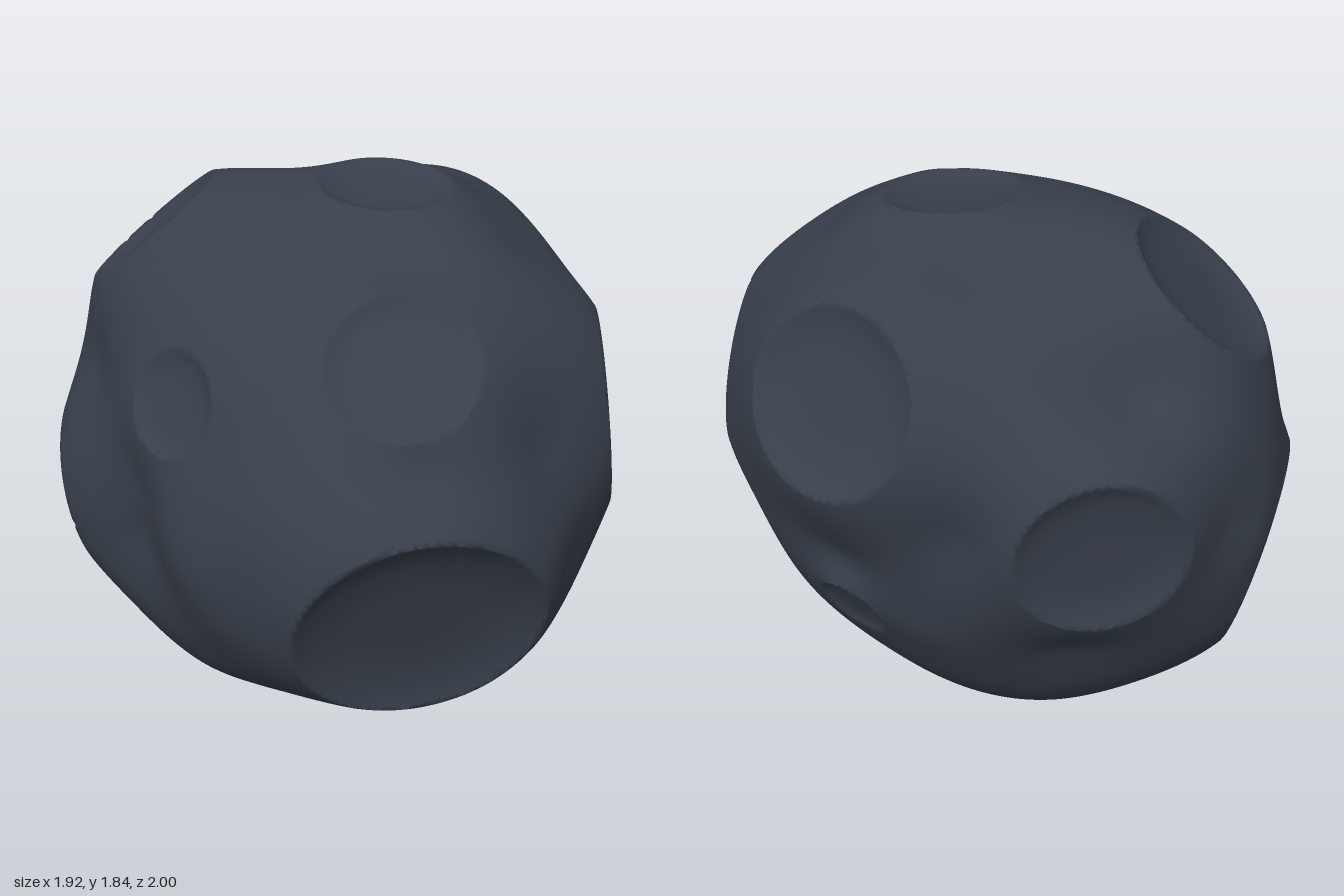
import * as THREE from 'three';
import { mergeVertices } from 'three/addons/utils/BufferGeometryUtils.js';

const V = (x, y, z) => new THREE.Vector3(x, y, z);
const MID = V(0, 0.92, 0);

// Craters: rim centre, facing direction, rim radius
const craters = [
  [V(0.1, 0.675, 0.88), V(0, -0.3, 0.95), 0.405],
  [V(0.07, 1.49, 0.69), V(-0.18, 0.7, 0.7), 0.235],
  [V(0.87, 1.1, 0.27), V(0.96, 0.12, 0.25), 0.335],
  [V(0.605, 1.42, -0.635), V(0.62, 0.37, -0.69), 0.295],
  [V(0.575, 0.6, -0.57), V(0.62, -0.42, -0.64), 0.13],
  [V(0.175, 1.82, -0.04), V(0.03, 1, 0.09), 0.225],
  [V(-0.59, 1.27, 0.355), V(-0.75, 0.37, 0.55), 0.175],
  [V(-0.565, 1.61, -0.395), V(-0.6, 0.75, -0.2), 0.28],
  [V(-0.155, 1.03, -0.985), V(-0.03, -0.05, -1), 0.27],
  [V(0.53, 0.2, 0.15), V(0.58, -0.81, 0.05), 0.26],
  [V(-0.22, 0.095, -0.06), V(-0.22, -0.97, 0.06), 0.43],
  [V(-0.8, 0.63, -0.41), V(-0.9, -0.25, -0.34), 0.375],
].map(([c, n, r]) => ({ c: c.sub(MID), n: n.normalize(), r }));

// Points on the plain ground between the craters
const ground = [
  V(0.83, 0.58, 0.1), V(-0.8, 1.2, -0.15), V(0.08, 1.25, 0.88), V(0.1, 1.67, 0.42),
  V(0.1, 0.22, 0.55), V(0, 0.3, -0.7), V(-0.1, 0.58, -0.84), V(-0.71, 0.95, 0.23),
  V(-0.7, 0.7, 0.22), V(-0.61, 0.8, 0.56), V(-0.45, 0.8, 0.75), V(-0.5, 0.42, 0.5),
  V(0.64, 0.8, 0.71), V(0.5, 1.2, 0.75), V(0.24, 1.05, -0.88), V(-0.57, 1, -0.85),
  V(-0.72, 0.9, -0.75), V(0.61, 1.63, 0.12), V(0, 1.72, -0.48), V(0.2, 1.77, -0.38),
  V(0.52, 1.73, -0.28), V(0.9, 0.95, -0.2), V(-0.3, 1.45, -0.74), V(0.6, 0.78, -0.6),
  V(0.72, 0.6, -0.4), V(0.4, 0.6, -0.72), V(0.46, 0.32, -0.46),
].map((p) => p.sub(MID));

// Twelve points around each rim join the ground points as anchors
const anchors = [...ground];
for (const { c, n, r } of craters) {
  const u = V(n.y, n.z, n.x).cross(n).normalize();
  for (let k = 0; k < 12; k++) {
    anchors.push(u.clone().applyAxisAngle(n, (k * Math.PI) / 6).multiplyScalar(r).add(c));
  }
}
const dirs = anchors.map((p) => p.clone().normalize());
const kernel = (a, b) => Math.sqrt(a.distanceToSquared(b) + 0.015);

// Solves a linear system given as augmented rows
function solve(rows) {
  const n = rows.length;
  for (let i = 0; i < n; i++) {
    let best = i;
    for (let j = i + 1; j < n; j++) if (Math.abs(rows[j][i]) > Math.abs(rows[best][i])) best = j;
    [rows[i], rows[best]] = [rows[best], rows[i]];
    for (let j = i + 1; j < n; j++) {
      const f = rows[j][i] / rows[i][i];
      for (let k = i; k <= n; k++) rows[j][k] -= f * rows[i][k];
    }
  }
  const x = new Array(n).fill(0);
  for (let i = n - 1; i >= 0; i--) {
    let s = rows[i][n];
    for (let k = i + 1; k < n; k++) s -= rows[i][k] * x[k];
    x[i] = s / rows[i][i];
  }
  return x;
}

// Moves a unit direction out to the surface
function surfacePoint(d, weights) {
  for (const { c, n, r } of craters) {
    const facing = d.dot(n);
    if (facing < 0.3) continue;
    const offset = d.clone().multiplyScalar(c.dot(n) / facing).sub(c);
    const dist = offset.length();
    // Vertices close to the rim snap onto it; those inside form the bowl
    if (Math.abs(dist - r) < 0.01) return offset.setLength(r).add(c);
    if (dist < r) return offset.add(c).addScaledVector(n, -0.13 * r * (1 - (dist / r) ** 4));
  }
  const radius = weights.reduce((sum, w, i) => sum + w * kernel(d, dirs[i]), 0.9);
  return d.clone().multiplyScalar(radius);
}

export function createModel() {
  const group = new THREE.Group();
  group.name = 'asteroid';
  const rock = new THREE.MeshStandardMaterial({ color: 0x383f4b });
  rock.name = 'dark slate rock';

  // Smooth ground through all anchors
  const weights = solve(dirs.map((a, i) =>
    [...dirs.map((b) => kernel(a, b)), anchors[i].length() - 0.9]));

  // Cratered body shaped from a fine sphere
  let geo = new THREE.IcosahedronGeometry(1, 64);
  geo.deleteAttribute('normal');
  geo.deleteAttribute('uv');
  geo = mergeVertices(geo, 1e-5);
  const pos = geo.attributes.position;
  for (let i = 0; i < pos.count; i++) {
    const p = surfacePoint(V(0, 0, 0).fromBufferAttribute(pos, i).normalize(), weights);
    pos.setXYZ(i, p.x, p.y, p.z);
  }
  geo.translate(MID.x, MID.y, MID.z);
  geo.computeVertexNormals();

  const body = new THREE.Mesh(geo, rock);
  body.name = 'crateredBody';
  group.add(body);
  return group;
}
